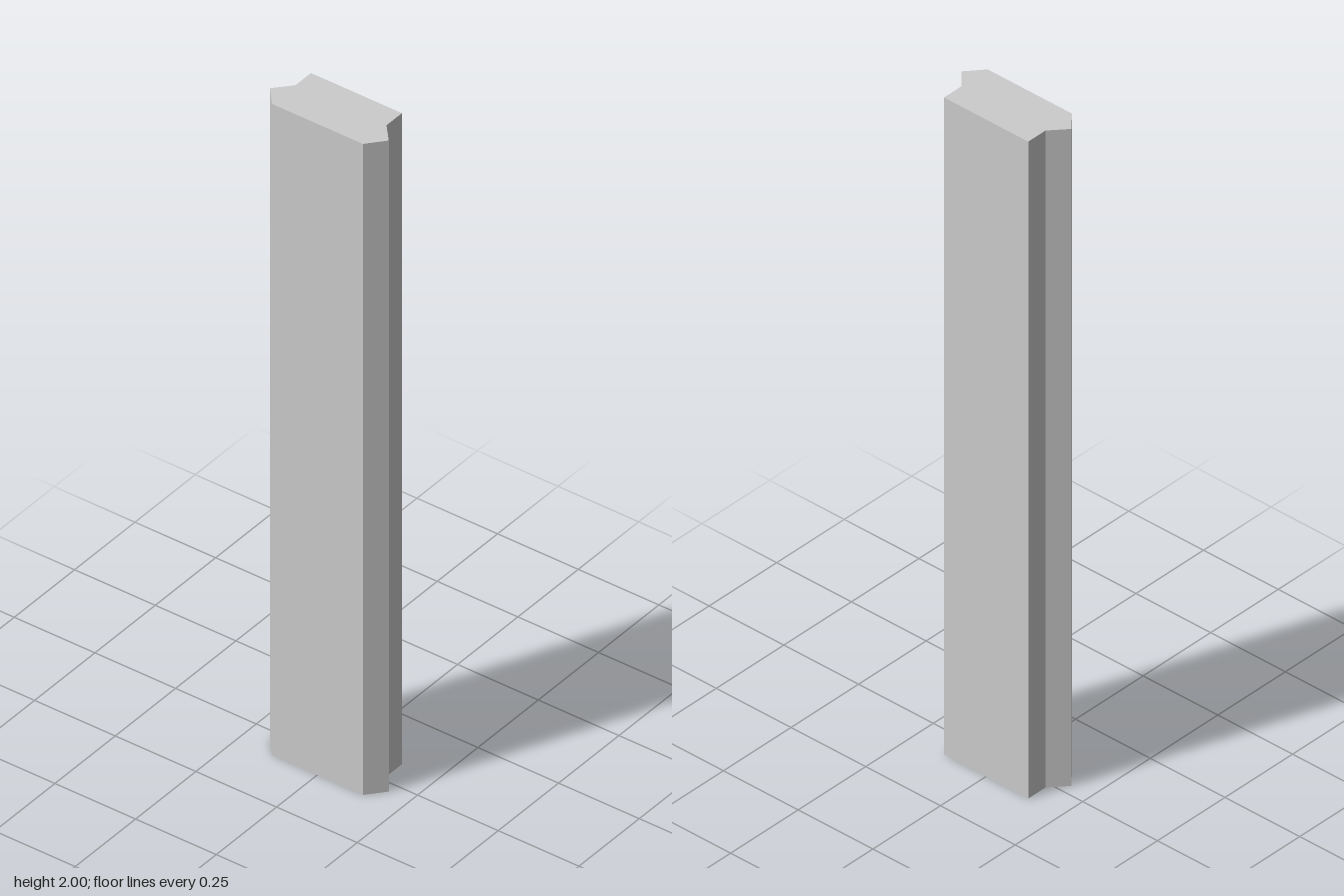
import * as THREE from 'three';

export function createModel() {
  const group = new THREE.Group();
  group.name = 'profileBar';

  // Right half of the cross-section as [x, z], from back to front
  const half = [[0.141, -0.081], [0.141, -0.017], [0.184, 0.031], [0.141, 0.081]];
  const mirrored = half.map(([x, z]) => [-x, z]).reverse();
  const outline = [...half, ...mirrored].map(([x, z]) => new THREE.Vector2(x, -z));

  // Slide bar: constant section with V-shaped side ridges, standing upright
  const geometry = new THREE.ExtrudeGeometry(new THREE.Shape(outline), { depth: 2, bevelEnabled: false });
  geometry.rotateX(-Math.PI / 2);

  const bar = new THREE.Mesh(geometry, new THREE.MeshStandardMaterial({ color: 0xcccccc, flatShading: true }));
  bar.name = 'slideBar';
  group.add(bar);
  return group;
}
